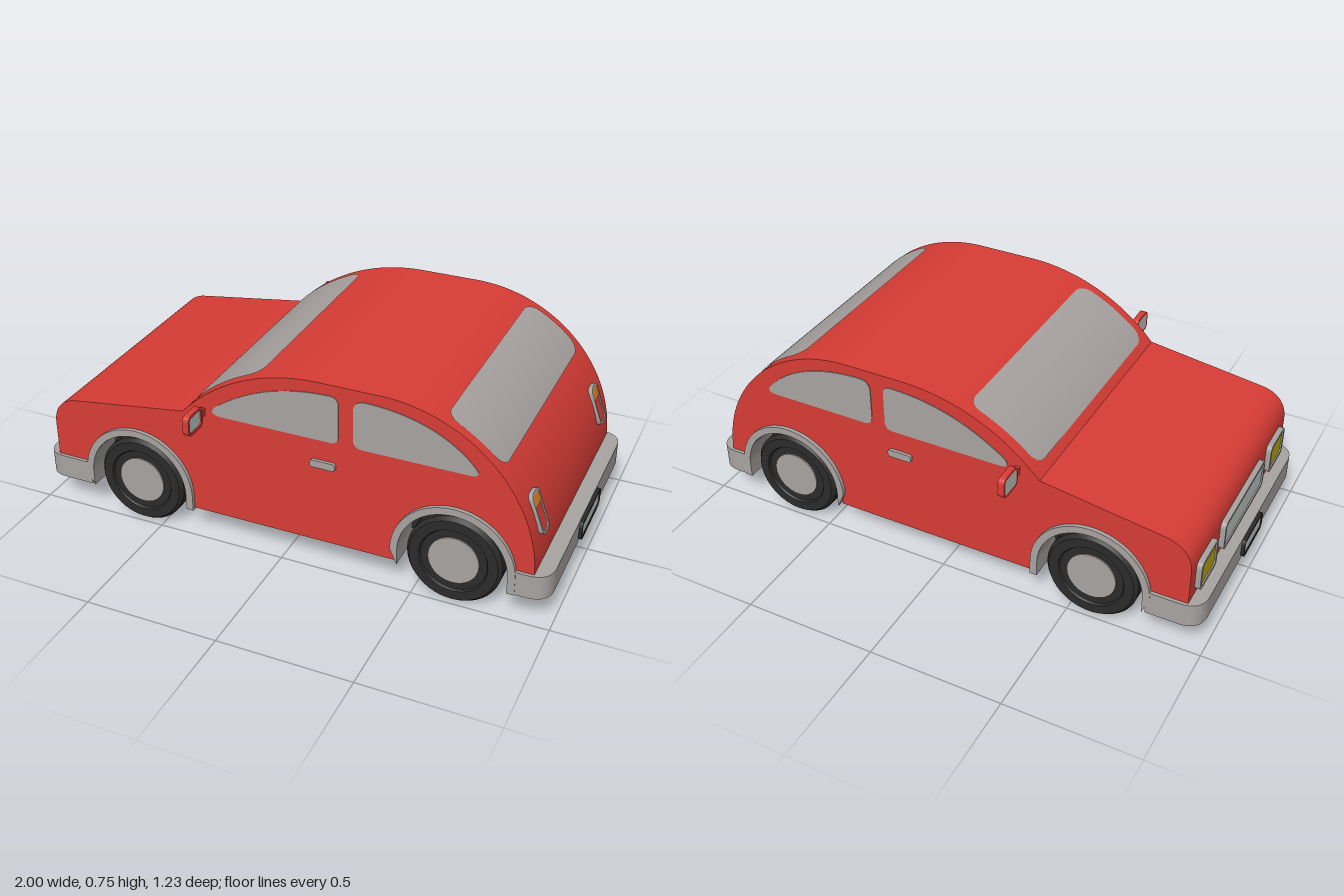
import * as THREE from 'three';
import { toCreasedNormals } from 'three/addons/utils/BufferGeometryUtils.js';

const mat = (name, color, side = THREE.FrontSide) => {
  const m = new THREE.MeshStandardMaterial({ color, side });
  m.name = name;
  return m;
};
const W = 0.49, BASE = 0.115, AXLE_Y = 0.17, AXLES = [-0.58, 0.645];
// Cabin arcs: windscreen and rear
const FRONT = { x: 0.145, y: 0.051, r: 0.704 }, REAR = { x: 0.37, y: 0.195, r: 0.56 };

export function createModel() {
  const red = mat('bodyRed', 0xd83c35, THREE.DoubleSide);
  const grey = mat('trimGrey', 0xa8a3a1, THREE.DoubleSide);
  const black = mat('rubberBlack', 0x2b2b2b, THREE.DoubleSide);
  const silver = mat('paleSilver', 0xc0cbc8);
  const orange = mat('signalOrange', 0xe08020);
  const yellow = mat('lampYellow', 0xc2aa12);
  const car = new THREE.Group();
  car.name = 'car';

  const add = (name, geo, material, parent = car, x = 0, y = 0, z = 0) => {
    const m = new THREE.Mesh(geo, material);
    m.name = name;
    m.position.set(x, y, z);
    parent.add(m);
    return m;
  };
  const extrude = (shape, depth) => toCreasedNormals(
    new THREE.ExtrudeGeometry(shape, { depth, bevelEnabled: false, curveSegments: 20 }), 0.6);
  const rounded = (w, h, r, Type = THREE.Shape) => {
    const s = new Type(), a = w / 2 - r, b = h / 2 - r;
    s.absarc(a, b, r, 0, Math.PI / 2);
    s.absarc(-a, b, r, Math.PI / 2, Math.PI);
    s.absarc(-a, -b, r, Math.PI, Math.PI * 1.5);
    s.absarc(a, -b, r, Math.PI * 1.5, Math.PI * 2);
    s.closePath();
    return s;
  };
  // Rounded frame around a recessed plate, facing +z before being turned
  const framed = (name, w, h, r, t, depth, frameMat, fillMat) => {
    const g = new THREE.Group();
    g.name = name;
    const ring = rounded(w, h, r);
    ring.holes.push(rounded(w - 2 * t, h - 2 * t, Math.max(r - t, 0.005), THREE.Path));
    add(name + 'Frame', extrude(ring, depth), frameMat, g);
    if (fillMat) add(name + 'Panel', extrude(rounded(w - 2 * t, h - 2 * t, Math.max(r - t, 0.005)), depth * 0.8), fillMat, g);
    car.add(g);
    return g;
  };

  // Body outline from the nose over the roof to the tail
  const outline = [[-0.935, BASE], [-0.935, 0.34]];
  const nose = new THREE.CubicBezierCurve(new THREE.Vector2(-0.935, 0.34), new THREE.Vector2(-0.935, 0.41),
    new THREE.Vector2(-0.89, 0.45), new THREE.Vector2(-0.83, 0.456));
  nose.getPoints(10).slice(1).forEach(p => outline.push([p.x, p.y]));
  const arc = (c, a0, a1, n) => {
    for (let i = 0; i <= n; i++) {
      const a = a0 + (a1 - a0) * i / n;
      outline.push([c.x + c.r * Math.sin(a), c.y + c.r * Math.cos(a)]);
    }
  };
  arc(FRONT, -0.842, 0, 20);
  arc(REAR, 0, Math.PI / 2, 32);
  outline.push([0.93, BASE]);

  // Skin across the car
  const skin = new THREE.PlaneGeometry(1, 1, 1, outline.length - 1);
  const pos = skin.attributes.position;
  for (let i = 0; i < pos.count; i++) {
    const [x, y] = outline[i >> 1];
    pos.setXYZ(i, x, y, i % 2 ? -W : W);
  }
  // Turn the faces outward
  const order = skin.index.array;
  for (let i = 0; i < order.length; i += 3) [order[i], order[i + 1]] = [order[i + 1], order[i]];
  skin.computeVertexNormals();
  const probe = skin.attributes.normal.getY(Math.floor(outline.length / 2) * 2);
  if (probe < 0) {
    for (let i = 0; i < order.length; i += 3) [order[i], order[i + 1]] = [order[i + 1], order[i]];
  }
  add('bodySkin', toCreasedNormals(skin, 0.4), red);

  // Side panel with wheel cut-outs
  const side = new THREE.Shape(outline.map(p => new THREE.Vector2(...p)));
  for (const x of [AXLES[1], AXLES[0]]) {
    side.lineTo(x + 0.21, BASE);
    side.absarc(x, AXLE_Y, 0.21, 0, Math.PI, false);
    side.lineTo(x - 0.21, BASE);
  }
  side.closePath();

  // Curved screens, drawn just outside and just inside the skin
  const screen = (name, c, a0, a1, halfW) => {
    for (const off of [0.003, -0.003]) {
      const n = 32, g = new THREE.PlaneGeometry(1, 1, 1, n), p = g.attributes.position;
      const length = (a1 - a0) * c.r, cr = 0.05;
      for (let i = 0; i < p.count; i++) {
        const t = (1 - Math.cos(Math.PI * (i >> 1) / n)) / 2, a = a0 + (a1 - a0) * t;
        const d = Math.max(0, cr - Math.min(t, 1 - t) * length);
        const w = halfW - cr + Math.sqrt(cr * cr - d * d);
        p.setXYZ(i, c.x + (c.r + off) * Math.sin(a), c.y + (c.r + off) * Math.cos(a), i % 2 ? w : -w);
      }
      g.computeVertexNormals();
      if (g.attributes.normal.getY(n) < 0) {
        const ix = g.index.array;
        for (let i = 0; i < ix.length; i += 3) [ix[i], ix[i + 1]] = [ix[i + 1], ix[i]];
        g.computeVertexNormals();
      }
      add(name, g, grey);
    }
  };
  screen('windscreen', FRONT, -0.789, -0.34, 0.45);
  screen('rearScreen', REAR, 0.394, 0.848, 0.455);

  // Side window outlines
  const frontWin = new THREE.Shape();
  frontWin.moveTo(-0.23, 0.533);
  frontWin.lineTo(0.19, 0.533);
  frontWin.quadraticCurveTo(0.222, 0.533, 0.222, 0.565);
  frontWin.lineTo(0.222, 0.68);
  frontWin.quadraticCurveTo(0.222, 0.715, 0.185, 0.714);
  frontWin.bezierCurveTo(0.03, 0.712, -0.11, 0.67, -0.25, 0.567);
  frontWin.quadraticCurveTo(-0.275, 0.536, -0.23, 0.533);
  const rearWin = new THREE.Shape();
  rearWin.moveTo(0.31, 0.533);
  rearWin.lineTo(0.69, 0.533);
  rearWin.quadraticCurveTo(0.73, 0.535, 0.71, 0.562);
  rearWin.bezierCurveTo(0.62, 0.665, 0.48, 0.715, 0.32, 0.717);
  rearWin.quadraticCurveTo(0.275, 0.717, 0.275, 0.675);
  rearWin.lineTo(0.275, 0.57);
  rearWin.quadraticCurveTo(0.275, 0.533, 0.31, 0.533);

  // Wheel arch and dark liner
  const archShape = new THREE.Shape(), R = 0.225, r = 0.198, leg = -0.06;
  archShape.moveTo(-R, leg);
  archShape.absarc(0, 0, R, Math.PI, 0, true);
  archShape.lineTo(R, leg);
  archShape.lineTo(r, leg);
  archShape.absarc(0, 0, r, 0, Math.PI, false);
  archShape.lineTo(-r, leg);
  archShape.closePath();
  const archGeo = extrude(archShape, 0.15);
  const linerGeo = new THREE.CircleGeometry(0.2, 32, 0, Math.PI);
  const tyreGeo = toCreasedNormals(new THREE.LatheGeometry([[0, -0.06], [0.16, -0.06], [0.172, -0.05], [0.172, 0.045],
    [0.16, 0.06], [0.125, 0.06], [0.12, 0.052], [0.09, 0.052]].map(p => new THREE.Vector2(...p)), 48), 0.6);
  tyreGeo.rotateX(Math.PI / 2);
  const hubGeo = new THREE.CylinderGeometry(0.092, 0.092, 0.06, 40).rotateX(Math.PI / 2);

  for (const s of [1, -1]) {
    const tag = s > 0 ? 'left' : 'right';
    add(tag + 'SidePanel', new THREE.ShapeGeometry(side, 24), red, car, 0, 0, s * W);
    add(tag + 'FrontWindow', extrude(frontWin, 0.006), grey, car, 0, 0, s * W - 0.003);
    add(tag + 'RearWindow', extrude(rearWin, 0.006), grey, car, 0, 0, s * W - 0.003);
    add(tag + 'DoorHandle', extrude(rounded(0.094, 0.028, 0.01), 0.024), grey, car, 0.165, 0.44, s * W - 0.012);
    for (const x of AXLES) {
      add('wheelArch', archGeo, grey, car, x, AXLE_Y, s > 0 ? 0.355 : -0.505);
      add('archLiner', linerGeo, black, car, x, AXLE_Y, s * 0.36);
      const wheel = new THREE.Group();
      wheel.name = 'wheel';
      wheel.position.set(x, 0.172, s * 0.428);
      if (s < 0) wheel.rotation.y = Math.PI;
      add('tyre', tyreGeo, black, wheel);
      add('hub', hubGeo, grey, wheel, 0, 0, 0.027);
      car.add(wheel);
    }
    // Door mirror, glass facing the rear
    add('mirrorArm', new THREE.BoxGeometry(0.018, 0.028, 0.04), red, car, -0.298, 0.54, s * 0.503);
    const mirror = framed('mirror', 0.1, 0.08, 0.022, 0.01, 0.024, red, silver);
    mirror.rotation.y = Math.PI / 2;
    mirror.position.set(-0.31, 0.538, s * 0.563);
    // Tail lamp lying on the rear curve
    const tail = framed('tailLamp', 0.074, 0.155, 0.022, 0.009, 0.022, grey, red);
    add('turnSignal', extrude(rounded(0.056, 0.042, 0.008), 0.006), orange, tail, 0, 0.046, 0.0145);
    tail.rotation.set(0, Math.PI / 2, 0.35, 'ZYX');
    tail.position.set(0.887, 0.382, s * 0.385);
    // Headlamp
    const lamp = framed('headlamp', 0.16, 0.12, 0.022, 0.014, 0.025, grey, yellow);
    lamp.rotation.y = -Math.PI / 2;
    lamp.position.set(-0.93, 0.282, s * 0.36);
  }

  // Grille and number plates
  const grille = framed('grille', 0.42, 0.12, 0.022, 0.012, 0.025, grey, silver);
  grille.rotation.y = -Math.PI / 2;
  grille.position.set(-0.93, 0.282, 0);
  for (const [name, w, s] of [['rearPlate', 0.26, 1], ['frontPlate', 0.2, -1]]) {
    const plate = framed(name, w, 0.076, 0.02, 0.01, 0.018, black, silver);
    plate.rotation.y = s * Math.PI / 2;
    plate.position.set(s * 0.982, 0.158, 0);
  }

  // Wrap-around bumpers, drawn in plan and stood up
  const bumper = (name, s, end, tip) => {
    const o = 0.503, c = 0.08, i = 0.47, inner = s * 0.92;
    const p = new THREE.Shape();
    p.moveTo(end, -o);
    p.lineTo(tip - s * c, -o);
    p.quadraticCurveTo(tip, -o, tip, -o + c);
    p.lineTo(tip, o - c);
    p.quadraticCurveTo(tip, o, tip - s * c, o);
    p.lineTo(end, o);
    p.lineTo(end, i);
    p.lineTo(inner, i);
    p.lineTo(inner, -i);
    p.lineTo(end, -i);
    p.closePath();
    add(name, extrude(p, 0.092).rotateX(-Math.PI / 2), grey, car, 0, 0.112, 0);
    const d = Math.abs(inner - end);
    add(name + 'Shelf', new THREE.BoxGeometry(d, 0.006, 2 * i), grey, car, (inner + end) / 2, 0.2, 0);
  };
  bumper('frontBumper', -1, -0.79, -0.988);
  bumper('rearBumper', 1, 0.86, 0.988);
  return car;
}
